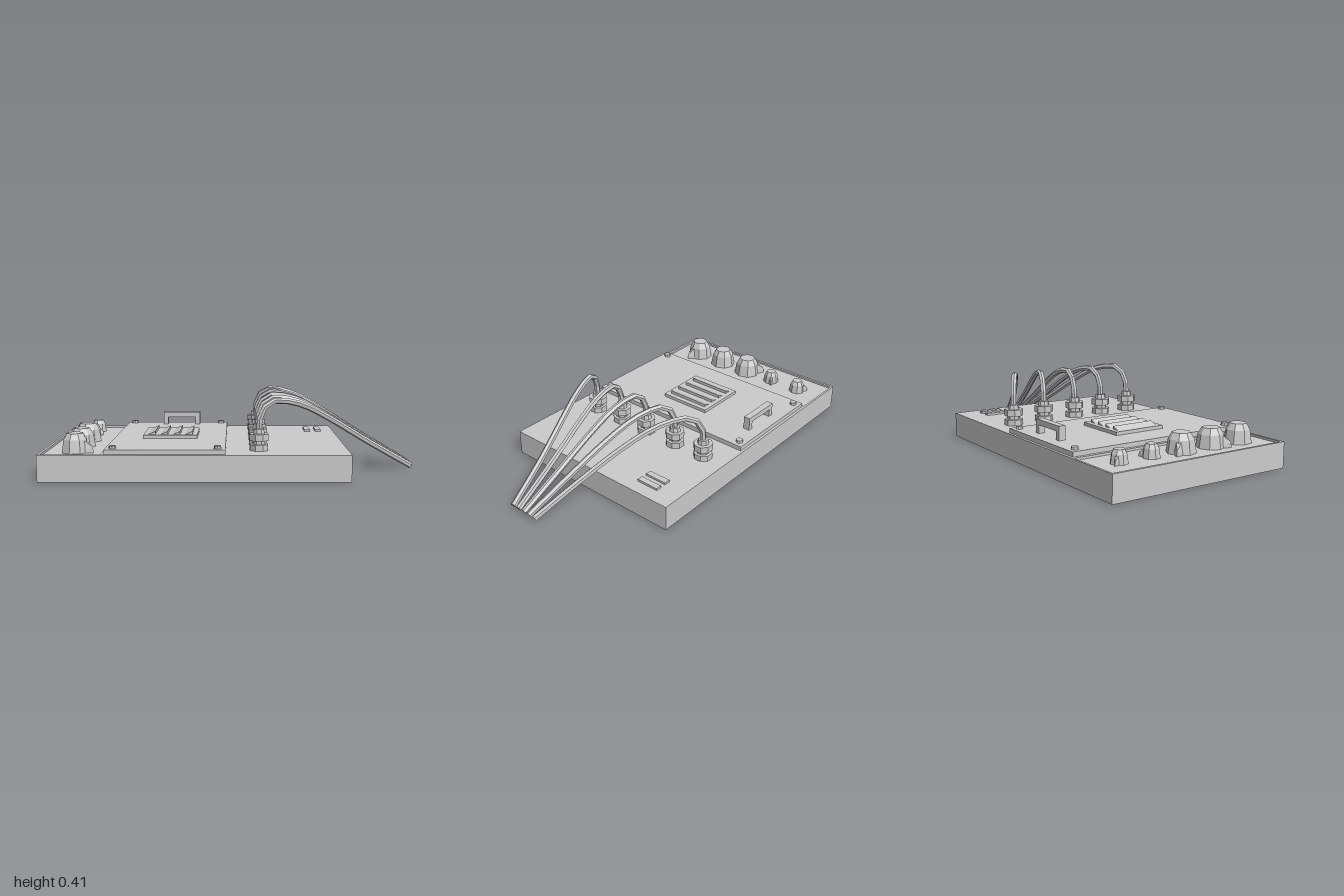
import * as THREE from 'three';
import { ConvexGeometry } from 'three/addons/geometries/ConvexGeometry.js';

const material = new THREE.MeshStandardMaterial({ color: 0xcccccc, flatShading: true, side: THREE.DoubleSide });
const TOP = 0.14, FLOOR = 0.128, PANEL = 0.165;
const CASE = [-1, 0.605, -0.54, 0.54];
const KNOB_BAY = [-0.985, -0.68, -0.528, 0.525];
const COVER = [-0.66, -0.04, -0.525, 0.522];
const SOCKET_X = 0.135;

export function createModel() {
  const model = new THREE.Group();
  model.name = 'controlBox';

  function add(name, geometry, x = 0, y = 0, z = 0, parent = model) {
    const mesh = new THREE.Mesh(geometry, material);
    mesh.name = name;
    mesh.position.set(x, y, z);
    parent.add(mesh);
    return mesh;
  }

  // Box between limits; openFaces lists box sides left out (2 = top, 3 = bottom)
  function slab(name, [x0, x1, z0, z1], y0, y1, openFaces = []) {
    const g = new THREE.BoxGeometry(x1 - x0, y1 - y0, z1 - z0);
    const index = Array.from(g.index.array);
    g.setIndex(index.filter((_, i) => !openFaces.includes(Math.floor(i / 6))));
    g.clearGroups();
    return add(name, g, (x0 + x1) / 2, (y0 + y1) / 2, (z0 + z1) / 2);
  }

  const rectangle = ([x0, x1, z0, z1], Type) => new Type([
    new THREE.Vector2(x0, -z0), new THREE.Vector2(x1, -z0),
    new THREE.Vector2(x1, -z1), new THREE.Vector2(x0, -z1)]);

  // Hollow case, and its top sheet cut out for the bay, cover and sockets
  slab('caseWalls', CASE, 0, TOP, [2, 3]);
  const cables = [
    { z: -0.402, end: 0.01 }, { z: -0.207, end: 0.05 }, { z: 0.002, end: 0.09 },
    { z: 0.188, end: 0.13 }, { z: 0.379, end: 0.17 }];
  const sheet = rectangle(CASE, THREE.Shape);
  sheet.holes.push(rectangle(KNOB_BAY, THREE.Path), rectangle(COVER, THREE.Path));
  for (const { z } of cables) {
    const pts = [];
    for (let i = 0; i < 8; i++) {
      const a = (i + 0.5) * Math.PI / 4;
      pts.push(new THREE.Vector2(SOCKET_X + 0.045 * Math.sin(a), -z + 0.045 * Math.cos(a)));
    }
    sheet.holes.push(new THREE.Path(pts));
  }
  add('caseTop', new THREE.ShapeGeometry(sheet).rotateX(-Math.PI / 2), 0, TOP, 0);
  slab('knobBay', KNOB_BAY, FLOOR, TOP, [2]);
  slab('coverPanel', COVER, TOP, PANEL, [3]);

  // Cover bolts
  for (const x of [-0.62, -0.08]) for (const z of [-0.487, 0.483])
    add('coverBolt', new THREE.CylinderGeometry(0.018, 0.02, 0.015, 8), x, PANEL + 0.0075, z);

  // Vent plate with sloped louvres
  slab('ventPlate', [-0.5, -0.2, -0.155, 0.15], PANEL, 0.183);
  const wedge = new THREE.Shape([
    new THREE.Vector2(-0.025, 0), new THREE.Vector2(0.015, 0), new THREE.Vector2(0.015, 0.017)]);
  for (let i = 0; i < 4; i++)
    add('ventLouvre', new THREE.ExtrudeGeometry(wedge, { depth: 0.25, bevelEnabled: false }),
      -0.45 + i * 0.069, 0.183, -0.128);

  // Handle: one bar bridging two feet
  const bar = new THREE.Shape([
    [-0.113, 0], [-0.113, 0.075], [0.113, 0.075], [0.113, 0], [0.085, 0],
    [0.085, 0.045], [-0.085, 0.045], [-0.085, 0]].map(p => new THREE.Vector2(...p)));
  add('handle', new THREE.ExtrudeGeometry(bar, { depth: 0.038, bevelEnabled: false }), -0.322, PANEL, -0.46);

  // Small raised strips
  for (const x of [0.43, 0.495]) slab('raisedStrip', [x, x + 0.034, -0.415, -0.287], TOP, 0.152);

  // Control knobs: faceted body and a tapered pointer (s = size, angle from +x towards +z)
  const knobs = [
    { z: -0.38, r: 0.046, h: 0.07, angle: -2.2 }, { z: -0.19, r: 0.046, h: 0.07, angle: -0.6 },
    { z: -0.005, r: 0.077, h: 0.102, angle: -2.25 }, { z: 0.187, r: 0.075, h: 0.102, angle: 2.35 },
    { z: 0.375, r: 0.074, h: 0.102, angle: 0.25 }];
  for (const { z, r, h, angle } of knobs) {
    const knob = new THREE.Group();
    knob.name = 'knob';
    knob.position.set(-0.832, FLOOR, z);
    knob.rotation.y = -angle;
    const profile = [[0, 0], [r, 0], [r * 0.86, h * 0.68], [r * 0.6, h], [0, h]];
    add('knobBody', new THREE.LatheGeometry(profile.map(p => new THREE.Vector2(...p)), 8), 0, 0, 0, knob);
    const pointer = [
      [0.6, 0, -0.42], [0.6, 0, 0.42], [1.4, 0, 0], [1.36, 0.3, 0],
      [0.6, 0.72, -0.22], [0.6, 0.72, 0.22]];
    add('knobPointer', new ConvexGeometry(pointer.map(([a, b, c]) => new THREE.Vector3(a * r, b * h, c * r))),
      0, 0, 0, knob);
    model.add(knob);
  }

  // Cable glands, and cables that arch over and gather at one side
  const gland = [[0.052, 0.14], [0.052, 0.172], [0.035, 0.172], [0.035, 0.192], [0.053, 0.192],
    [0.053, 0.228], [0.032, 0.228], [0.028, 0.253], [0, 0.253]];
  const path = [[0.135, 0.235], [0.138, 0.3], [0.16, 0.358], [0.2, 0.393], [0.28, 0.394],
    [0.38, 0.366], [0.52, 0.292], [0.73, 0.163], [0.98, 0.018]];
  for (const { z, end } of cables) {
    const socket = add('cableGland',
      new THREE.LatheGeometry(gland.map(p => new THREE.Vector2(...p)), 8), SOCKET_X, 0, z);
    socket.rotation.y = Math.PI / 8;
    const curve = new THREE.CatmullRomCurve3(path.map(([x, y]) => {
      const t = (x - SOCKET_X) / 0.845;
      return new THREE.Vector3(x, y, z + (end - z) * (1.35 * t - 0.35 * t * t));
    }));
    add('cable', new THREE.TubeGeometry(curve, 16, 0.0165, 6));
    const tip = curve.getPoint(1);
    const cap = add('cableEnd', new THREE.CircleGeometry(0.0165, 6), tip.x, tip.y, tip.z);
    cap.lookAt(tip.clone().add(curve.getTangent(1)));
  }
  return model;
}
